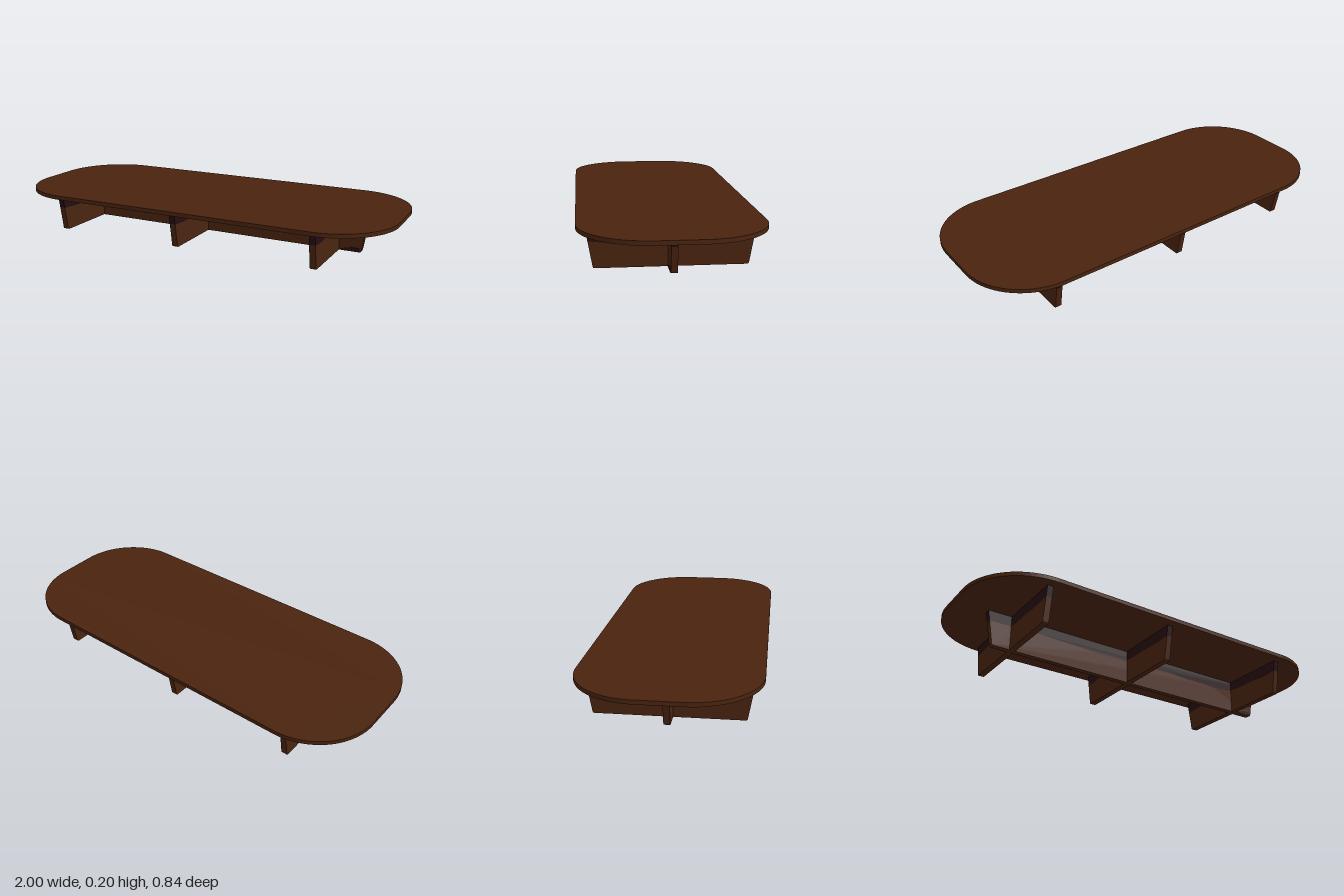
import * as THREE from 'three';

const wood = new THREE.MeshStandardMaterial({ color: 0x4a240f });
wood.name = 'brown wood';
const stain = new THREE.MeshStandardMaterial({ color: 0x260e11 });
stain.name = 'dark stained wood';

const BOARD_TOP = 0.175;
const THICK = 0.03;

// Rounded slab with an elongated outline
function tableTop() {
  const w = 1, d = 0.42, r = 0.32, s = new THREE.Shape();
  s.absarc(w - r, d - r, r, 0, Math.PI / 2);
  s.absarc(r - w, d - r, r, Math.PI / 2, Math.PI);
  s.absarc(r - w, r - d, r, Math.PI, Math.PI * 1.5);
  s.absarc(w - r, r - d, r, Math.PI * 1.5, Math.PI * 2);
  s.closePath();
  const geo = new THREE.ExtrudeGeometry(s, { depth: 0.02, bevelEnabled: false, curveSegments: 16 });
  geo.rotateX(-Math.PI / 2).translate(0, 0.178, 0);
  const mesh = new THREE.Mesh(geo, wood);
  mesh.name = 'tableTop';
  return mesh;
}

function extrudeBoard(shape, material, name) {
  const geo = new THREE.ExtrudeGeometry(shape, { depth: THICK, bevelEnabled: false, curveSegments: 4 });
  geo.translate(0, 0, -THICK / 2);
  const mesh = new THREE.Mesh(geo, material);
  mesh.name = name;
  return mesh;
}

// Tapered support board: plain lower part, stained upper band, wavy line between
function supportBoard(name, bottom, top, phase) {
  const group = new THREE.Group();
  group.name = name;
  const halfAt = (y) => bottom + (top - bottom) * y / BOARD_TOP;
  const edgeY = 0.122, half = halfAt(edgeY), n = 28;
  const wave = [];
  for (let i = 0; i <= n; i++) {
    const u = -half + 2 * half * i / n;
    const inner = i > 0 && i < n ? 1 : 0;
    wave.push([u, edgeY + inner * (0.005 * Math.sin(u * 9 + phase) + 0.002 * Math.sin(u * 31 + phase))]);
  }

  // Lower part with softened foot corners
  const r = 0.008, lower = new THREE.Shape();
  lower.moveTo(-bottom + r, 0);
  lower.lineTo(bottom - r, 0);
  lower.quadraticCurveTo(bottom, 0, halfAt(r), r);
  [...wave].reverse().forEach(([x, y]) => lower.lineTo(x, y));
  lower.lineTo(-halfAt(r), r);
  lower.quadraticCurveTo(-bottom, 0, -bottom + r, 0);
  group.add(extrudeBoard(lower, wood, 'boardLower'));

  // Stained band under the top
  const upper = new THREE.Shape();
  wave.forEach(([x, y], i) => (i ? upper.lineTo(x, y) : upper.moveTo(x, y)));
  upper.lineTo(top, BOARD_TOP);
  upper.lineTo(-top, BOARD_TOP);
  upper.closePath();
  group.add(extrudeBoard(upper, stain, 'stainedBand'));
  return group;
}

export function createModel() {
  const model = new THREE.Group();
  model.name = 'lowTable';
  model.add(tableTop());

  // Lengthwise board
  const spine = supportBoard('lengthwiseBoard', 0.804, 0.835, 0.5);
  spine.position.z = 0.005;
  model.add(spine);

  // Stain patch at the foot of the lengthwise board
  const patch = new THREE.Shape();
  patch.moveTo(0.69, 0.003);
  patch.lineTo(0.797, 0.003);
  patch.lineTo(0.8, 0.02);
  patch.lineTo(0.76, 0.022);
  patch.lineTo(0.72, 0.012);
  patch.closePath();
  const foot = new THREE.Mesh(new THREE.ExtrudeGeometry(patch, { depth: 0.002, bevelEnabled: false }), stain);
  foot.name = 'footStain';
  foot.position.z = 0.005 + THICK / 2;
  model.add(foot);

  // Three crosswise boards
  [-0.7, -0.035, 0.68].forEach((x, i) => {
    const board = supportBoard('crossBoard' + (i + 1), 0.344, 0.375, 0.4 + i * 0.3);
    board.rotation.y = Math.PI / 2;
    board.position.set(x, 0, 0.003);
    model.add(board);
  });
  return model;
}
